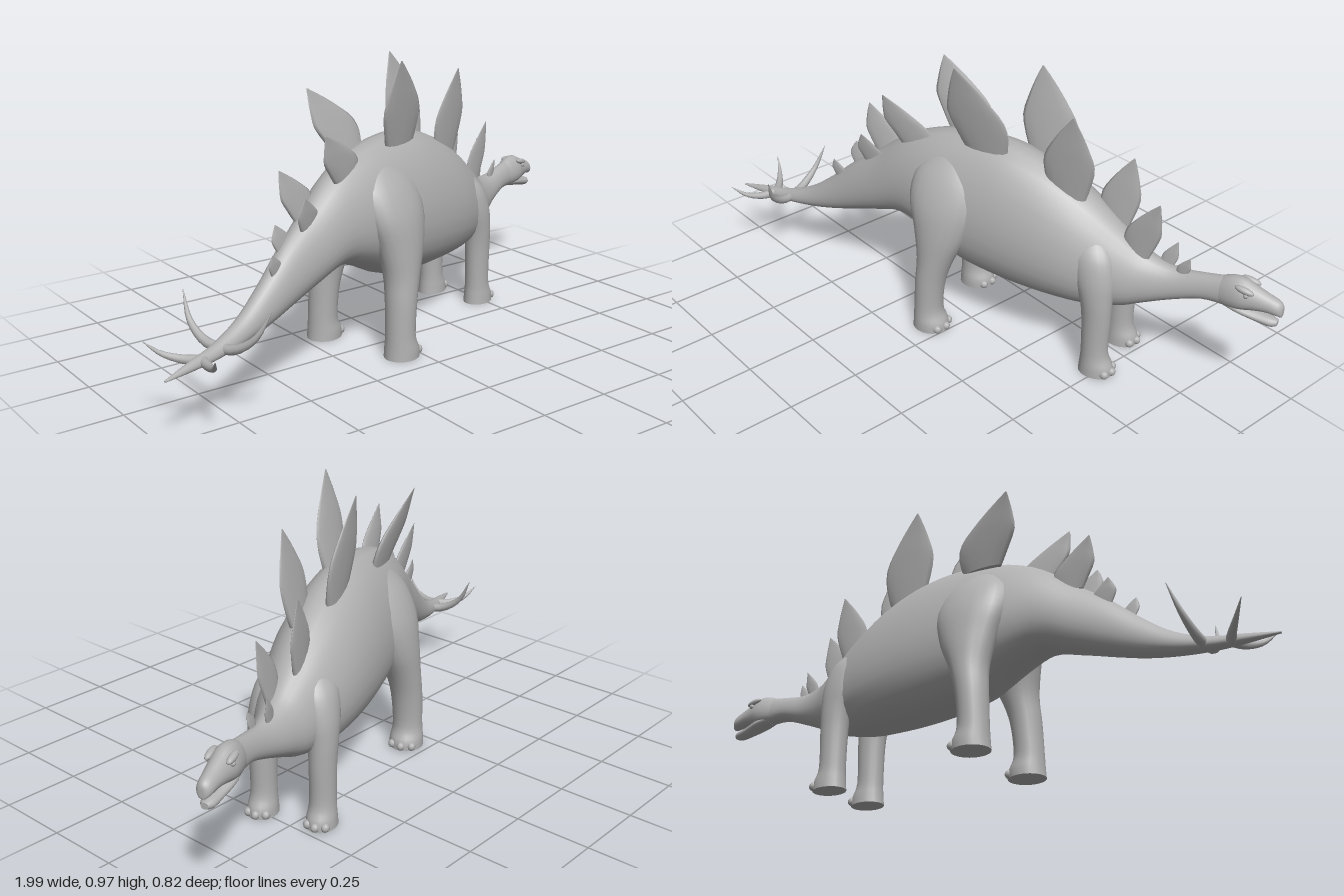
import * as THREE from 'three';

const skin = new THREE.MeshStandardMaterial({ color: 0xb0b0b0 });
skin.name = 'grey skin';

// Catmull-Rom interpolation of table rows
function smooth(rows, steps) {
  const out = [];
  const at = (i) => rows[Math.max(0, Math.min(rows.length - 1, i))];
  for (let i = 0; i < rows.length - 1; i++) {
    for (let k = 0; k < steps; k++) {
      const t = k / steps;
      out.push(rows[i].map((b, c) => {
        const a = at(i - 1)[c], d = at(i + 1)[c], e = at(i + 2)[c];
        return b + 0.5 * t * (d - a + t * (2 * a - 5 * b + 4 * d - e + t * (3 * (b - d) + e - a)));
      }));
    }
  }
  out.push(rows[rows.length - 1]);
  return out;
}

// Skin over a list of closed rings, with capped ends
function loft(rings) {
  const n = rings[0].length, pos = [], idx = [];
  rings.forEach((r) => r.forEach((p) => pos.push(...p)));
  for (let i = 0; i < rings.length - 1; i++) {
    for (let j = 0; j < n; j++) {
      const a = i * n + j, b = i * n + (j + 1) % n;
      idx.push(a, b, a + n, b, b + n, a + n);
    }
  }
  [rings[0], rings[rings.length - 1]].forEach((r, end) => {
    const base = pos.length / 3;
    r.forEach((p) => pos.push(...p));
    pos.push(...[0, 1, 2].map((c) => r.reduce((sum, p) => sum + p[c], 0) / n));
    for (let j = 0; j < n; j++) {
      const k = (j + 1) % n;
      idx.push(base + n, base + (end ? j : k), base + (end ? k : j));
    }
  });
  const g = new THREE.BufferGeometry();
  g.setAttribute('position', new THREE.Float32BufferAttribute(pos, 3));
  g.setIndex(idx);
  g.computeVertexNormals();
  return g;
}

const ring = (n, f) => Array.from({ length: n }, (_, j) => f(j / n * Math.PI * 2));

// Rows along x: [x, top, bottom, half width]; the widest point sits low by sag
const along = (rows, sag = 0, n = 28) => loft(smooth(rows, 4).map(([x, top, bottom, hw]) =>
  ring(n, (a) => {
    const h = (top - bottom) / 2, c = Math.cos(a), s = Math.sin(a);
    return [x, (top + bottom) / 2 + h * (c - sag * s * s), hw * s];
  })));

// Rows going up: [y, x, z, half length, half width]
const column = (rows, steps = 4, n = 16) => loft(smooth(rows, steps).map(([y, x, z, rx, rz]) =>
  ring(n, (a) => [x + rx * Math.sin(a), y, z + rz * Math.cos(a)])));

// Tapered horn along a curve
function horn(points, radius) {
  const curve = new THREE.CatmullRomCurve3(points.map((p) => new THREE.Vector3(...p)));
  const steps = 10, frames = curve.computeFrenetFrames(steps);
  return loft(Array.from({ length: steps + 1 }, (_, i) => {
    const c = curve.getPointAt(i / steps), r = radius * (1 - 0.95 * (i / steps) ** 1.5);
    return ring(10, (a) => c.clone().addScaledVector(frames.normals[i], r * Math.cos(a))
      .addScaledVector(frames.binormals[i], r * Math.sin(a)).toArray());
  }));
}

// Back plate: lens-shaped sections sweeping from base to tip [x, y, z]
function plate(base, tip, half) {
  const profile = [[0, 0.72], [0.25, 0.95], [0.45, 1], [0.62, 0.78], [0.82, 0.42], [1, 0.03]];
  return column(profile.map(([f, w]) => [
    base[1] + (tip[1] - base[1]) * f,
    base[0] + (tip[0] - base[0]) * f ** 1.5,
    base[2] + (tip[2] - base[2]) * f,
    half * w,
    (0.003 + half * 0.17 * (1 - f)) * Math.min(1, w + 0.2),
  ]), 2, 12);
}

export function createModel() {
  const model = new THREE.Group();
  model.name = 'platedDinosaur';
  const animal = new THREE.Group();
  animal.name = 'animal';
  animal.rotation.y = 0.337;
  animal.position.z = -0.06;
  model.add(animal);
  const add = (name, geometry) => {
    const mesh = new THREE.Mesh(geometry, skin);
    mesh.name = name;
    animal.add(mesh);
    return mesh;
  };

  // Tail, trunk and neck in one skin
  add('body', along([
    [-1.06, 0.214, 0.208, 0.004], [-0.95, 0.235, 0.205, 0.017], [-0.85, 0.252, 0.208, 0.026],
    [-0.74, 0.295, 0.22, 0.036], [-0.635, 0.37, 0.24, 0.047], [-0.53, 0.46, 0.27, 0.06],
    [-0.42, 0.54, 0.305, 0.078], [-0.3, 0.63, 0.335, 0.103], [-0.18, 0.682, 0.3, 0.132],
    [-0.05, 0.707, 0.24, 0.152], [0.09, 0.71, 0.217, 0.162], [0.21, 0.683, 0.21, 0.163],
    [0.32, 0.637, 0.21, 0.155], [0.42, 0.575, 0.215, 0.135], [0.53, 0.49, 0.238, 0.1],
    [0.6, 0.443, 0.268, 0.072], [0.69, 0.42, 0.307, 0.046], [0.79, 0.432, 0.343, 0.035],
    [0.87, 0.448, 0.345, 0.035],
  ], 0.22));

  // Head with a parted beak
  add('head', along([
    [0.83, 0.435, 0.35, 0.03], [0.87, 0.453, 0.345, 0.04], [0.91, 0.456, 0.348, 0.044],
    [0.95, 0.441, 0.358, 0.037], [0.99, 0.425, 0.364, 0.03], [1.025, 0.412, 0.362, 0.025],
    [1.04, 0.4, 0.358, 0.015], [1.043, 0.385, 0.365, 0.005],
  ], 0.2, 20));
  add('lowerJaw', along([
    [0.86, 0.38, 0.345, 0.028], [0.91, 0.37, 0.335, 0.036], [0.97, 0.355, 0.322, 0.028],
    [1.01, 0.348, 0.316, 0.023], [1.03, 0.342, 0.322, 0.012],
  ], 0, 16));

  const hind = [
    [0, -0.122, 0.16, 0.064, 0.058], [0.03, -0.122, 0.16, 0.061, 0.057],
    [0.08, -0.13, 0.16, 0.05, 0.051], [0.19, -0.122, 0.157, 0.053, 0.054],
    [0.28, -0.106, 0.148, 0.066, 0.06], [0.38, -0.092, 0.132, 0.1, 0.07],
    [0.48, -0.09, 0.112, 0.13, 0.072], [0.57, -0.09, 0.085, 0.12, 0.058],
    [0.64, -0.09, 0.06, 0.06, 0.025],
  ];
  const fore = [
    [0, 0.483, 0.1, 0.06, 0.049], [0.03, 0.483, 0.1, 0.057, 0.047],
    [0.08, 0.475, 0.1, 0.046, 0.042], [0.2, 0.475, 0.1, 0.049, 0.043],
    [0.28, 0.47, 0.1, 0.055, 0.046], [0.36, 0.455, 0.092, 0.07, 0.052],
    [0.44, 0.435, 0.075, 0.07, 0.05], [0.5, 0.42, 0.055, 0.03, 0.02],
  ];
  for (const side of [1, -1]) {
    const label = side > 0 ? 'left' : 'right';
    // Legs with three toes each
    for (const [name, rows] of [['HindLeg', hind], ['ForeLeg', fore]]) {
      add(label + name, column(rows.map(([y, x, z, rx, rz]) => [y, x, z * side, rx, rz]), 4, 20));
      const [, x, z, rx, rz] = rows[0];
      for (const k of [-1, 0, 1]) {
        const toe = add(label + name + 'Toe', new THREE.SphereGeometry(1, 10, 8));
        toe.scale.set(0.016, 0.015, 0.014);
        toe.position.set(x + rx * (0.93 - 0.2 * Math.abs(k)), 0.015, z * side + k * rz * 0.6);
      }
    }
    // Brow ridge and eye
    const brow = add(label + 'Brow', new THREE.SphereGeometry(1, 14, 10));
    brow.scale.set(0.032, 0.011, 0.012);
    brow.rotation.z = -0.2;
    brow.position.set(0.925, 0.433, 0.033 * side);
    const eye = add(label + 'Eye', new THREE.SphereGeometry(0.009, 10, 8));
    eye.position.set(0.932, 0.418, 0.036 * side);
    // Tail spikes
    add(label + 'FrontTailSpike', horn([[-0.83, 0.23, 0], [-0.83, 0.24, 0.06 * side],
      [-0.82, 0.285, 0.125 * side], [-0.797, 0.37, 0.17 * side]], 0.017));
    add(label + 'RearTailSpike', horn([[-0.91, 0.222, 0], [-0.935, 0.222, 0.05 * side],
      [-0.97, 0.24, 0.1 * side], [-1.005, 0.28, 0.137 * side]], 0.016));
  }

  // Staggered double row of back plates: base, tip, half length
  [
    [[-0.585, 0.385, 0.012], [-0.61, 0.455, 0.02], 0.03],
    [[-0.515, 0.44, -0.015], [-0.54, 0.525, -0.025], 0.042],
    [[-0.435, 0.49, 0.02], [-0.47, 0.6, 0.04], 0.05],
    [[-0.4, 0.515, -0.022], [-0.49, 0.68, -0.045], 0.072],
    [[-0.25, 0.61, 0.03], [-0.37, 0.775, 0.045], 0.085],
    [[-0.1, 0.66, -0.065], [-0.235, 0.885, -0.13], 0.105],
    [[0.03, 0.665, 0.045], [-0.05, 0.97, 0.11], 0.105],
    [[0.225, 0.64, -0.04], [0.163, 0.957, -0.08], 0.1],
    [[0.325, 0.59, 0.04], [0.352, 0.888, 0.08], 0.088],
    [[0.465, 0.495, -0.025], [0.51, 0.738, -0.04], 0.066],
    [[0.565, 0.435, 0.02], [0.635, 0.645, 0.035], 0.058],
    [[0.655, 0.4, -0.012], [0.685, 0.5, -0.02], 0.026],
    [[0.715, 0.405, 0.01], [0.74, 0.475, 0.016], 0.022],
  ].forEach(([base, tip, half]) => add('backPlate', plate(base, tip, half)));

  return model;
}
